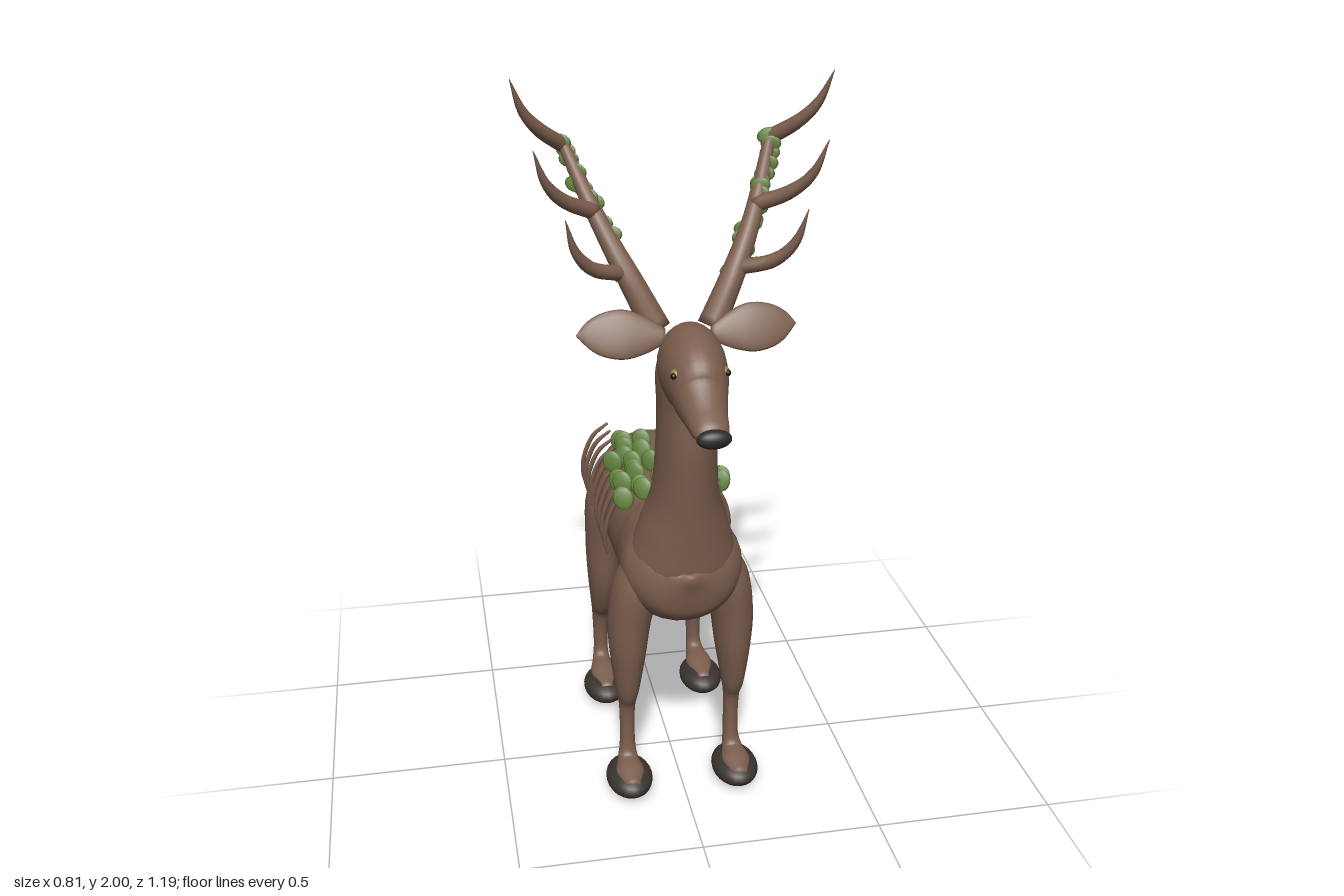
import * as THREE from 'three';

const mat = (name, color) => {
  const m = new THREE.MeshStandardMaterial({ color });
  m.name = name;
  return m;
};

// Smooth skin over elliptical rings [x, y, z, radiusAcross, radiusOther]; "ref" gives the across direction.
function loft(rings, { steps = 40, sides = 24, ref = new THREE.Vector3(1, 0, 0) } = {}) {
  const path = new THREE.CatmullRomCurve3(rings.map(r => new THREE.Vector3(r[0], r[1], r[2])), false, 'catmullrom');
  const radii = new THREE.CatmullRomCurve3(rings.map(r => new THREE.Vector3(r[3], r[4] ?? r[3], 0)), false, 'catmullrom');
  const pos = [], index = [];
  for (let i = 0; i <= steps; i++) {
    const t = i / steps, c = path.getPoint(t), r = radii.getPoint(t), T = path.getTangent(t);
    const U = ref.clone().addScaledVector(T, -ref.dot(T)).normalize();
    const V = T.clone().cross(U);
    for (let j = 0; j < sides; j++) {
      const a = (j / sides) * Math.PI * 2;
      const p = c.clone().addScaledVector(U, Math.cos(a) * Math.max(r.x, 0.001))
        .addScaledVector(V, Math.sin(a) * Math.max(r.y, 0.001));
      pos.push(p.x, p.y, p.z);
      if (i < steps) {
        const k = (j + 1) % sides, A = i * sides + j, B = i * sides + k;
        index.push(A, B, A + sides, B, B + sides, A + sides);
      }
    }
  }
  // end caps
  const first = pos.length / 3, last = first + 1, top = steps * sides;
  const s = path.getPoint(0), e = path.getPoint(1);
  pos.push(s.x, s.y, s.z, e.x, e.y, e.z);
  for (let j = 0; j < sides; j++) {
    const k = (j + 1) % sides;
    index.push(first, k, j, last, top + j, top + k);
  }
  const g = new THREE.BufferGeometry();
  g.setAttribute('position', new THREE.Float32BufferAttribute(pos, 3));
  g.setIndex(index);
  g.computeVertexNormals();
  return g;
}

function seeded(seed) {
  return () => {
    seed = (seed * 16807) % 2147483647;
    return seed / 2147483647;
  };
}

export function createModel() {
  const model = new THREE.Group();
  const fur = mat('brown fur', 0x7b5e4d);
  const hoofMat = mat('dark hoof', 0x3a342f);
  const noseMat = mat('dark nose', 0x2e2a28);
  const leafMat = mat('green leaf', 0x5f7f3a);
  const eyeMat = mat('gold eye', 0x9a8238);
  const pupilMat = mat('black pupil', 0x141414);

  const add = (name, geometry, material) => {
    const m = new THREE.Mesh(geometry, material);
    m.name = name;
    model.add(m);
    return m;
  };
  const ball = new THREE.SphereGeometry(1, 24, 16);
  const leafShape = new THREE.SphereGeometry(1, 10, 8);
  const blob = (name, material, p, s, geometry = ball) => {
    const m = add(name, geometry, material);
    m.position.set(...p);
    m.scale.set(...s);
    return m;
  };

  // trunk, from rump to chest
  add('body', loft([
    [0, 0.69, -0.492, 0.002, 0.002], [0, 0.69, -0.475, 0.08, 0.085], [0, 0.695, -0.43, 0.14, 0.148],
    [0, 0.695, -0.34, 0.172, 0.187], [0, 0.69, -0.2, 0.162, 0.188], [0, 0.68, 0, 0.155, 0.177],
    [0, 0.69, 0.1, 0.163, 0.172], [0, 0.71, 0.2, 0.165, 0.155], [0, 0.73, 0.265, 0.125, 0.115],
    [0, 0.74, 0.3, 0.05, 0.05], [0, 0.745, 0.306, 0.002, 0.002],
  ], { steps: 60, sides: 32 }), fur);

  // neck
  add('neck', loft([
    [0, 0.62, 0.17, 0.11, 0.085], [0, 0.72, 0.18, 0.15, 0.125], [0, 0.83, 0.2, 0.125, 0.118],
    [0, 0.95, 0.222, 0.09, 0.107], [0, 1.1, 0.235, 0.079, 0.11], [0, 1.2, 0.24, 0.078, 0.104],
    [0, 1.3, 0.25, 0.08, 0.1], [0, 1.38, 0.265, 0.05, 0.06],
  ], { sides: 28 }), fur);

  // head and muzzle
  add('head', loft([
    [0, 1.3, 0.15, 0.002, 0.002], [0, 1.31, 0.18, 0.055, 0.07], [0, 1.315, 0.25, 0.08, 0.105],
    [0, 1.318, 0.31, 0.085, 0.113], [0, 1.303, 0.37, 0.078, 0.104], [0, 1.275, 0.42, 0.066, 0.075],
    [0, 1.253, 0.48, 0.053, 0.05], [0, 1.238, 0.54, 0.042, 0.03], [0, 1.237, 0.565, 0.01, 0.01],
  ], { steps: 48, sides: 28 }), fur);
  blob('nose', noseMat, [0, 1.237, 0.568], [0.043, 0.024, 0.022]);

  // tail
  add('tail', loft([
    [0, 0.515, -0.44, 0.043], [0, 0.515, -0.5, 0.042], [0, 0.49, -0.555, 0.034], [0, 0.445, -0.58, 0.018],
    [0, 0.433, -0.583, 0.002],
  ], { steps: 24, sides: 16 }), fur);

  const rnd = seeded(77);
  for (const s of [1, -1]) {
    const side = s > 0 ? 'left' : 'right';
    const mirror = rings => rings.map(([x, ...rest]) => [x * s, ...rest]);

    // eyes
    blob(side + 'Eye', eyeMat, [s * 0.058, 1.34, 0.4], [0.016, 0.016, 0.016]);
    blob(side + 'Pupil', pupilMat, [s * 0.067, 1.341, 0.41], [0.008, 0.008, 0.008]);

    // leaf-shaped ears
    add(side + 'Ear', loft(mirror([
      [0.06, 1.39, 0.255, 0.02, 0.01], [0.11, 1.395, 0.255, 0.047, 0.012], [0.16, 1.4, 0.255, 0.062, 0.012],
      [0.21, 1.402, 0.252, 0.056, 0.01], [0.25, 1.402, 0.247, 0.035, 0.007], [0.28, 1.4, 0.243, 0.002, 0.002],
    ]), { steps: 24, sides: 16, ref: new THREE.Vector3(0, 0.91, -0.41) }), fur);

    // legs ending in forward-pointing feet
    add(side + 'FrontLeg', loft(mirror([
      [0.1, 0.76, 0.18, 0.03, 0.04], [0.125, 0.66, 0.175, 0.062, 0.075], [0.145, 0.54, 0.165, 0.06, 0.077],
      [0.15, 0.43, 0.163, 0.05, 0.07], [0.152, 0.32, 0.165, 0.034, 0.045], [0.152, 0.25, 0.152, 0.023, 0.026],
      [0.152, 0.13, 0.15, 0.022, 0.025], [0.154, 0.08, 0.17, 0.03, 0.025], [0.155, 0.068, 0.22, 0.04, 0.024],
      [0.155, 0.06, 0.275, 0.02, 0.015],
    ]), { steps: 54, sides: 20 }), fur);
    add(side + 'HindLeg', loft(mirror([
      [0.1, 0.78, -0.33, 0.04, 0.06], [0.125, 0.67, -0.33, 0.07, 0.105], [0.145, 0.54, -0.33, 0.056, 0.083],
      [0.148, 0.42, -0.335, 0.048, 0.07], [0.15, 0.32, -0.36, 0.036, 0.05], [0.152, 0.25, -0.392, 0.026, 0.033],
      [0.152, 0.13, -0.4, 0.022, 0.026], [0.154, 0.08, -0.375, 0.028, 0.025], [0.155, 0.072, -0.31, 0.04, 0.022],
      [0.155, 0.06, -0.23, 0.02, 0.015],
    ]), { steps: 54, sides: 20 }), fur);
    blob(side + 'FrontHoof', hoofMat, [s * 0.155, 0.04, 0.2], [0.066, 0.04, 0.095]);
    blob(side + 'HindHoof', hoofMat, [s * 0.155, 0.04, -0.29], [0.066, 0.04, 0.095]);

    // antler beam and its three tines
    const beam = [
      [0.07, 1.39, 0.2, 0.037], [0.135, 1.52, 0.165, 0.031], [0.185, 1.62, 0.115, 0.025],
      [0.225, 1.71, 0.055, 0.021], [0.27, 1.825, -0.025, 0.015],
    ];
    add(side + 'AntlerBeam', loft(mirror(beam), { steps: 28, sides: 14 }), fur);
    const tines = [
      [[0.14, 1.53, 0.16], [0.225, 1.555, 0.205], [0.275, 1.61, 0.235], [0.3, 1.695, 0.255]],
      [[0.205, 1.67, 0.085], [0.285, 1.71, 0.13], [0.335, 1.765, 0.165], [0.365, 1.85, 0.188]],
      [[0.265, 1.815, -0.03], [0.33, 1.865, 0.02], [0.375, 1.92, 0.05], [0.405, 2.0, 0.075]],
    ];
    tines.forEach((t, n) => {
      const rings = t.map((p, i) => [...p, [0.021, 0.018, 0.012, 0.001][i]]);
      add(side + 'Tine' + (n + 1), loft(mirror(rings), { steps: 16, sides: 12 }), fur);
    });

    // leaves growing along the antler
    const beamCurve = new THREE.CatmullRomCurve3(beam.map(p => new THREE.Vector3(p[0], p[1], p[2])));
    for (let i = 0; i < 18; i++) {
      const p = beamCurve.getPoint(0.27 + 0.72 * (i / 17));
      const leaf = blob(side + 'AntlerLeaf', leafMat,
        [s * (p.x + (rnd() - 0.5) * 0.025), p.y + (rnd() - 0.5) * 0.02, p.z + (rnd() - 0.5) * 0.02],
        [0.027, 0.02, 0.005], leafShape);
      leaf.rotation.set(-0.3 + rnd() * 0.3, -0.2 - rnd() * 0.3, s * 0.4 * rnd());
    }

    // leaves growing on the back
    for (let i = 0; i < 17; i++) {
      const x = 0.03 + rnd() * 0.12;
      const leaf = blob(side + 'BackLeaf', leafMat,
        [s * x, 0.905 - x * 0.22 + rnd() * 0.01, 0.11 - 0.4 * (i + rnd() * 0.5) / 17],
        [0.029, 0.033, 0.008], leafShape);
      leaf.rotation.set(-0.35 + rnd() * 0.2, -0.3 - rnd() * 0.25, -s * 0.3);
    }

    // thin curved ribs along the flank
    for (let i = 0; i < 9; i++) {
      const z = -0.005 - i * 0.0605;
      add(side + 'Rib' + (i + 1), loft(mirror([
        [0.105, 0.855, z, 0.004], [0.15, 0.81, z - 0.013, 0.007], [0.176, 0.74, z - 0.025, 0.007],
        [0.18, 0.68, z - 0.034, 0.006], [0.172, 0.635, z - 0.04, 0.003],
      ]), { steps: 16, sides: 8 }), fur);
    }
  }
  return model;
}
